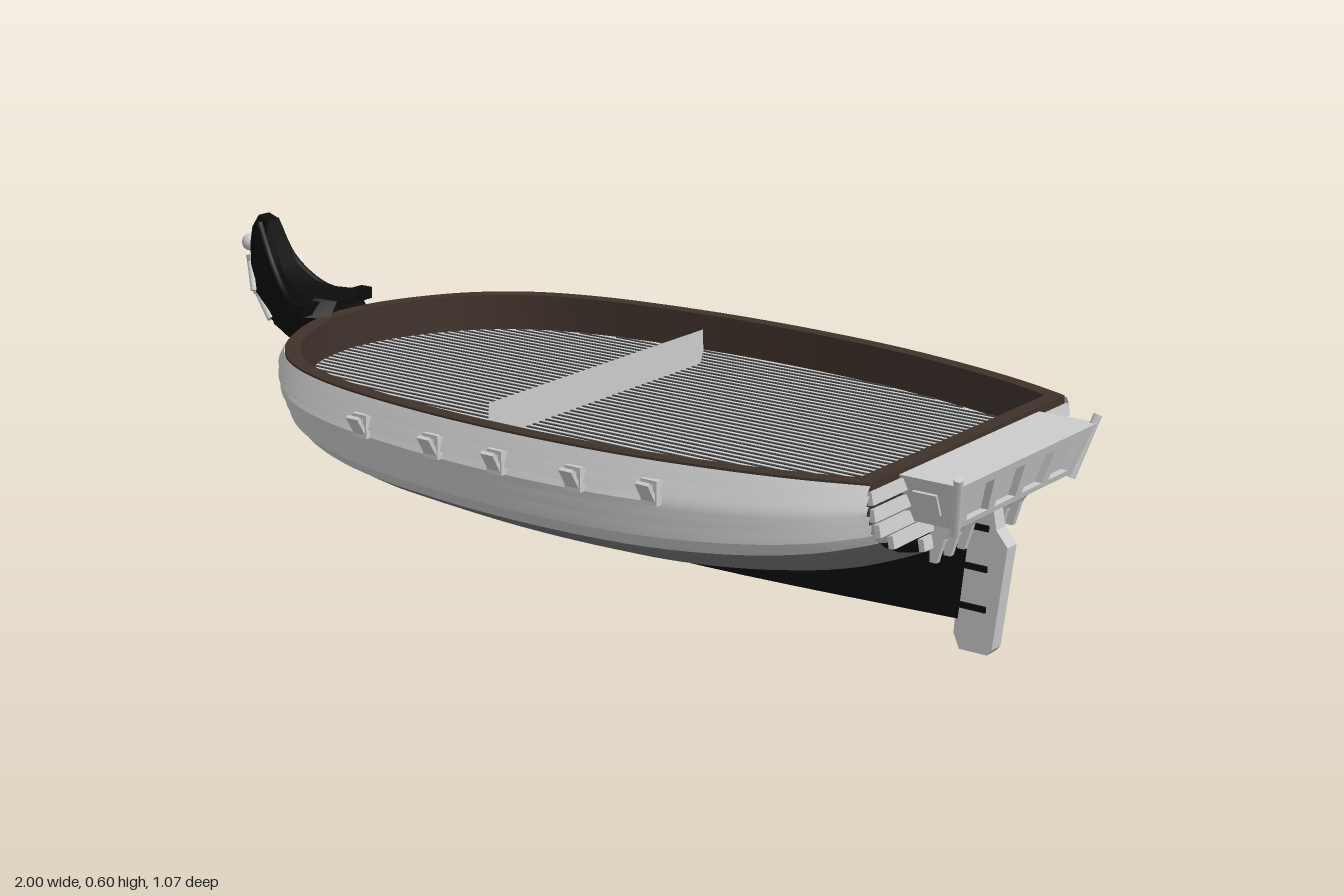
import * as THREE from 'three';
import { toCreasedNormals } from 'three/addons/utils/BufferGeometryUtils.js';

const V = (x, y, z) => new THREE.Vector3(x, y, z);
const mat = (color = 0xcccccc) => new THREE.MeshStandardMaterial({ color, side: THREE.DoubleSide });
const GREY = mat(), BLACK = mat(0x0c0c0c), BROWN = mat(0x40322b), BOTTOM = mat(0x777777), SEAM = mat(0x444444);
const TOP = 0.41, DECK = 0.335, STERN = 0.87;

export function createModel() {
  const ship = new THREE.Group();
  ship.name = 'shipHull';
  const add = (name, geo, material = GREY, parent = ship) => {
    const m = new THREE.Mesh(geo, material);
    m.name = name;
    parent.add(m);
    return m;
  };
  const box = (name, size, pos, material, parent) => {
    const m = add(name, new THREE.BoxGeometry(...size), material, parent);
    m.position.set(...pos);
    return m;
  };
  const rod = (name, a, b, r, material) => {
    const m = add(name, new THREE.CylinderGeometry(r, r, a.distanceTo(b), 8), material);
    m.position.copy(a).lerp(b, 0.5);
    m.quaternion.setFromUnitVectors(V(0, 1, 0), b.clone().sub(a).normalize());
  };
  // surface through rows of points, rows running along +x
  const skin = (rows, crease = 0.5) => {
    const geo = new THREE.BufferGeometry().setFromPoints(rows.flat());
    const n = rows[0].length, idx = [];
    for (let i = 0; i < rows.length - 1; i++) for (let j = 0; j < n - 1; j++) {
      const a = i * n + j, b = a + n;
      idx.push(a, b, b + 1, a, b + 1, a + 1);
    }
    geo.setIndex(idx);
    return toCreasedNormals(geo, crease);
  };
  // side profile (x, y) extruded across z
  const slab = (pts, width, z = 0) => new THREE.ExtrudeGeometry(
    new THREE.Shape(pts.map(p => new THREE.Vector2(...p))), { depth: width, bevelEnabled: false }).translate(0, 0, z - width / 2);
  const curve = pts => new THREE.SplineCurve(pts.map(p => new THREE.Vector2(...p))).getPoints(40).map(p => [p.x, p.y]);

  // hull plan: x, half breadth at the rim, height of the bottom
  const plan = new THREE.CatmullRomCurve3([
    [-.72, 0, .35], [-.705, .1, .295], [-.66, .21, .225], [-.6, .3, .175], [-.5, .385, .135], [-.35, .445, .11], [-.1, .485, .098],
    [.15, .495, .093], [.4, .48, .1], [.6, .445, .125], [.75, .405, .165], [STERN, .36, .22]].map(p => V(...p))).getPoints(77);
  const normals = plan.map((p, i) => {
    if (i === 0) return [-1, 0];
    const a = plan[i - 1], b = plan[Math.min(i + 1, plan.length - 1)];
    const l = Math.hypot(b.x - a.x, b.y - a.y);
    return [-(b.y - a.y) / l, (b.x - a.x) / l];
  });
  const breadthAt = x => {
    const i = Math.max(1, plan.findIndex(p => p.x >= x)), a = plan[i - 1], b = plan[i];
    return a.y + (b.y - a.y) * (x - a.x) / (b.x - a.x);
  };

  // section fullness against height fraction
  const FULL = [[0, 0], [.03, .18], [.09, .4], [.19, .63], [.34, .83], [.5, .93], [.75, 1], [1, .99]];
  const fullness = (t, x) => {
    const k = Math.max(1, FULL.findIndex(p => p[0] >= t)), [a, u] = FULL[k - 1], [b, v] = FULL[k];
    const f = u + (v - u) * (t - a) / (b - a);
    const power = x < -.2 ? 1 + .8 * (-.2 - x) : x > .3 ? 1 - .35 * (x - .3) : 1;
    return Math.pow(f, power);
  };
  const point = (i, t, off, side) => {
    const p = plan[i], [nx, nz] = normals[i];
    return V(Math.min(STERN, p.x + nx * off), p.z + (TOP - p.z) * t, side * (p.y * fullness(t, p.x) + nz * off));
  };

  // smooth bottom
  const T0 = 0.4, low = Array.from({ length: 17 }, (_, k) => T0 * Math.pow(k / 16, 1.5));
  add('lowerHull', skin(plan.map((_, i) => [
    ...low.slice().reverse().map(t => point(i, t, 0, -1)), ...low.slice(1).map(t => point(i, t, 0, 1))]), 0.9), BOTTOM);

  // overlapping side planks, each standing proud at its lower edge
  const PLANKS = 6, edges = [[T0, 0]];
  for (let k = 0; k < PLANKS; k++) {
    const a = T0 + (1 - T0) * k / PLANKS, h = (1 - T0) / PLANKS;
    edges.push([a, .012], [a + h / 2, .007], [a + h, .001]);
  }
  for (const side of [1, -1]) {
    const order = side > 0 ? edges : edges.slice().reverse();
    add(side > 0 ? 'leftPlanking' : 'rightPlanking', skin(plan.map((_, i) => order.map(([t, o]) => point(i, t, o, side)))));
  }

  // transom with horizontal planks
  const last = plan.length - 1, fr = Array.from({ length: 25 }, (_, k) => Math.pow(k / 24, 1.6));
  const rim = [...fr.slice().reverse().map(t => point(last, t, 0, -1)), ...fr.slice(1).map(t => point(last, t, 0, 1))];
  add('transom', new THREE.ShapeGeometry(new THREE.Shape(rim.map(p => new THREE.Vector2(p.z, p.y)))).rotateY(Math.PI / 2));
  for (let k = 0; k < 5; k++) {
    const y = .25 + k * .034, w = point(last, (y - .012 - .22) / (TOP - .22), 0, 1).z;
    box('transomPlank', [.012, .024, 2 * w], [STERN, y, 0]).rotation.z = .2;
  }

  // bulwark ring and deck
  const inset = d => {
    const half = plan.map((p, i) => [Math.min(STERN - d, p.x - normals[i][0] * d), Math.max(0, p.y - normals[i][1] * d)]);
    return [...half, ...half.slice(1).reverse().map(([x, z]) => [x, -z])].map(p => new THREE.Vector2(...p));
  };
  const inner = inset(.036), ring = new THREE.Shape(inset(.004));
  ring.holes.push(new THREE.Path(inner));
  add('bulwark', new THREE.ExtrudeGeometry(ring, { depth: TOP + .004 - DECK, bevelEnabled: false })
    .rotateX(Math.PI / 2).translate(0, TOP + .004, 0), BROWN);
  add('deck', new THREE.ShapeGeometry(new THREE.Shape(inner)).rotateX(-Math.PI / 2).translate(0, DECK, 0));
  for (let z = -.44; z < .445; z += .02) {
    const xs = inner.filter(p => p.y > Math.abs(z)).map(p => p.x);
    if (xs.length < 2) continue;
    const a = Math.min(...xs), b = Math.max(...xs);
    box('deckSeam', [b - a, .002, .006], [(a + b) / 2, DECK + .001, z], SEAM);
  }

  // keel, stem and sternpost
  const outer = curve([[-.9, .36], [-.82, .31], [-.75, .2], [-.66, .13], [-.5, .07], [-.25, .042], [.3, .04], [.86, .06]]);
  const upper = curve([[.8, .23], [.7, .17], [.5, .13], [.2, .11], [-.2, .115], [-.48, .15], [-.6, .21], [-.68, .31], [-.69, .4]]);
  add('keel', slab([...outer, [.885, .31], [.86, .31], ...upper, [-.78, .43]], .036), BLACK);

  // rudder
  add('rudder', slab([[.87, .3], [.925, .3], [.935, .25], [.96, .22], [.935, .012], [.925, 0], [.865, 0], [.852, .03]], .034));
  for (const y of [.09, .17, .25]) box('rudderHinge', [.07, .012, .042], [.885, y, 0], BLACK);

  // beakhead: x, half width, lower and upper height
  const beak = [[-.972, .004, .49, .53], [-.96, .02, .45, .57], [-.935, .027, .4, .6], [-.905, .028, .37, .59], [-.885, .032, .355, .54],
    [-.86, .042, .34, .49], [-.82, .06, .325, .46], [-.78, .08, .33, .45], [-.735, .1, .385, .45], [-.69, .06, .37, .445]];
  add('beakhead', skin(beak.map(([x, w, a, b]) => {
    const n = Math.min(w, .02), m = b - .035;
    return [V(x, b, -w * .6), V(x, m, -w), V(x, a, -n), V(x, a, n), V(x, m, w), V(x, b, w * .6), V(x, b, -w * .6)];
  }), 0.4), BLACK);
  box('beakheadBeam', [.03, .025, .22], [-.735, .432, 0], BLACK);
  for (const s of [1, -1]) {
    const rail = new THREE.CatmullRomCurve3([V(-.73, .43, s * .1), V(-.81, .44, s * .065), V(-.88, .5, s * .036), V(-.925, .585, s * .026)]);
    add('headRail', new THREE.TubeGeometry(rail, 16, .008, 6), BLACK);
    // figurehead limbs
    rod('figureheadArm', V(-.968, .49, s * .015), V(-.945, .43, s * .03), .007);
    rod('figureheadLeg', V(-.955, .43, s * .01), V(-.905, .37, s * .02), .009);
  }
  rod('figureheadBody', V(-.97, .505, 0), V(-.95, .42, 0), .018);
  add('figureheadHead', new THREE.SphereGeometry(.019, 12, 8)).position.set(-.98, .53, 0);

  // gun ports with raised lids
  for (const x of [-.22, -.02, .14, .32, .48]) for (const s of [1, -1]) {
    const port = new THREE.Group();
    port.name = 'gunPort';
    port.position.set(x, .355, s * breadthAt(x));
    ship.add(port);
    for (const e of [1, -1]) {
      box('portPost', [.008, .046, .024], [e * .014, 0, s * .006], GREY, port);
      box('portSill', [.036, .008, .024], [0, e * .02, s * .006], GREY, port);
    }
    box('portLid', [.03, .042, .008], [0, .004, s * .026], GREY, port).rotation.x = s * .55;
  }

  // stern gallery, flaring upward and aft
  const y0 = .31, y1 = .405, aft = y => .965 + (y - y0) * .3, wide = y => .217 + (y - y0) * .4;
  const body = new THREE.BoxGeometry(1, 1, 1), bp = body.attributes.position;
  for (let i = 0; i < bp.count; i++) {
    const y = bp.getY(i) > 0 ? y1 : y0;
    bp.setXYZ(i, bp.getX(i) > 0 ? aft(y) - .015 : STERN - .01, y, Math.sign(bp.getZ(i)) * wide(y));
  }
  body.computeVertexNormals();
  add('sternGallery', body);
  const trapezoid = (a, b, c, d) => [[a, .322], [b, .322], [d, .388], [c, .388]].map(p => new THREE.Vector2(...p));
  const frame = new THREE.Shape([[-wide(y0), y0], [wide(y0), y0], [wide(y1), y1], [-wide(y1), y1]].map(p => new THREE.Vector2(...p)));
  for (let k = -2; k < 2; k++)
    frame.holes.push(new THREE.Path(trapezoid(k * .1 + .012, k * .1 + .088, k * .112 + .014, k * .112 + .098)));
  const frameGeo = new THREE.ExtrudeGeometry(frame, { depth: .016, bevelEnabled: false }).rotateY(Math.PI / 2);
  const fp = frameGeo.attributes.position;
  for (let i = 0; i < fp.count; i++) fp.setX(i, fp.getX(i) - .016 + aft(fp.getY(i)));
  frameGeo.computeVertexNormals();
  add('galleryWindowFrame', frameGeo);
  for (const s of [1, -1]) {
    rod('galleryCornerPost', V(.962, .3, s * .215), V(.99, .42, s * .258), .009);
    box('gallerySideWindow', [.05, .045, .008], [.915, .357, s * .237]).rotation.x = s * .38;
    for (const z of [.04, .09, .14])
      add('galleryBracket', slab([[.87, .21], [.885, .21], [.9, .26], [.935, .31], [.87, .31]], .012, s * z));
  }
  return ship;
}
